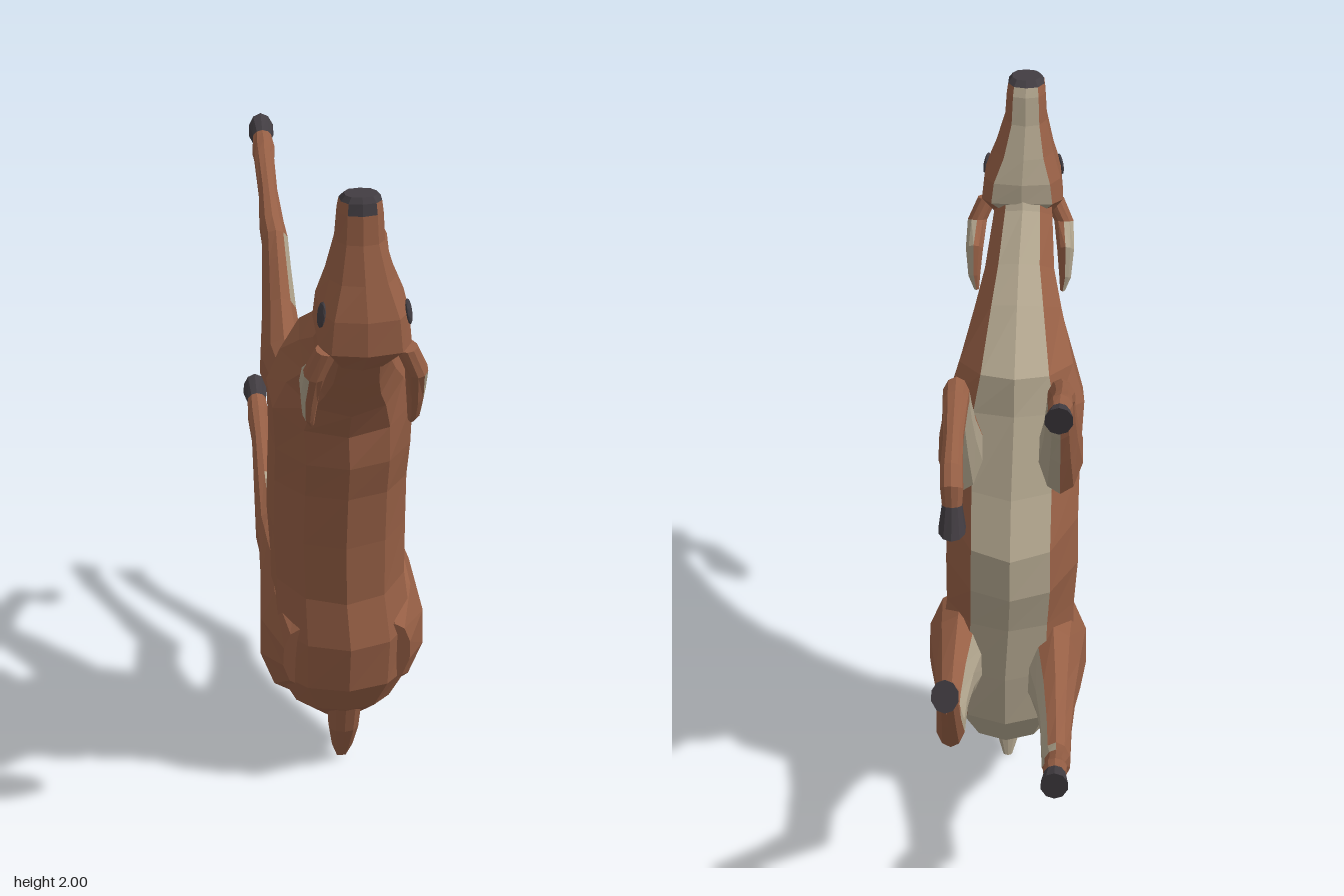
import * as THREE from 'three';

const mat = (name, color) => {
  const m = new THREE.MeshStandardMaterial({ color, flatShading: true });
  m.name = name;
  return m;
};

// Angles round a section: 0 = first edge (back), 180 = second edge (belly)
const ANGLES = [0, 35, 70, 105, 145, 180, 215, 255, 290, 325].map(a => a * Math.PI / 180);
const N = ANGLES.length;
const power = (v, p) => Math.sign(v) * Math.abs(v) ** p;

// A ring is [z1, y1, z2, y2, halfWidth, xCentre, squareness]: two opposite
// edge points in side profile; squareness below 1 makes the section boxier
function ringPoints([z1, y1, z2, y2, w, x, p = 1]) {
  return ANGLES.map(a => {
    const t = (1 - power(Math.cos(a), p)) / 2;
    return new THREE.Vector3(x + w * power(Math.sin(a), p), y1 + (y2 - y1) * t, z1 + (z2 - z1) * t);
  });
}

// Closed loft through rings; pick(band, segment) returns a material index
function loft(name, rings, materials, pick = () => 0) {
  const pts = rings.map(ringPoints);
  const buckets = materials.map(() => []);
  let volume = 0;
  const tri = (m, a, b, c) => {
    volume += a.dot(new THREE.Vector3().crossVectors(b, c));
    buckets[m].push([a, b, c]);
  };
  for (let k = 0; k < pts.length - 1; k++) {
    for (let j = 0; j < N; j++) {
      const n = (j + 1) % N, m = pick(k, j);
      tri(m, pts[k][j], pts[k][n], pts[k + 1][n]);
      tri(m, pts[k][j], pts[k + 1][n], pts[k + 1][j]);
    }
  }
  const last = pts.length - 1;
  const centre = k => pts[k][0].clone().lerp(pts[k][5], 0.5);
  for (let j = 0; j < N; j++) {
    const n = (j + 1) % N;
    tri(pick(0, j), centre(0), pts[0][n], pts[0][j]);
    tri(pick(last - 1, j), centre(last), pts[last][j], pts[last][n]);
  }
  const pos = [];
  const geo = new THREE.BufferGeometry();
  buckets.forEach((list, m) => {
    geo.addGroup(pos.length / 3, list.length * 3, m);
    for (const [a, b, c] of list) {
      for (const p of volume > 0 ? [a, b, c] : [a, c, b]) pos.push(p.x, p.y, p.z);
    }
  });
  geo.setAttribute('position', new THREE.Float32BufferAttribute(pos, 3));
  geo.computeVertexNormals();
  const mesh = new THREE.Mesh(geo, materials.length > 1 ? materials : materials[0]);
  mesh.name = name;
  return mesh;
}

export function createModel() {
  const group = new THREE.Group();
  group.name = 'deer';
  const brown = mat('brownCoat', 0x965f45);
  const cream = mat('creamCoat', 0xaea28b);
  const dark = mat('darkHorn', 0x423d42);
  const coat = [brown, cream];

  // Torso and neck, from rump to throat
  const torso = [
    [0.17, 0.15, 0.08, 0.14, 0.05, 0],
    [0.27, 0.23, -0.03, 0.19, 0.145, 0],
    [0.34, 0.33, -0.09, 0.30, 0.20, 0],
    [0.375, 0.48, -0.11, 0.48, 0.205, 0],
    [0.36, 0.62, -0.12, 0.67, 0.195, -0.01],
    [0.39, 0.81, -0.15, 0.80, 0.20, -0.015],
    [0.43, 0.98, -0.14, 0.93, 0.198, -0.015],
    [0.47, 1.09, -0.05, 1.08, 0.20, -0.015],
    [0.48, 1.19, 0.05, 1.30, 0.205, -0.02],
    [0.545, 1.28, 0.075, 1.41, 0.17, -0.02],
    [0.60, 1.34, 0.30, 1.52, 0.13, -0.02],
    [0.67, 1.41, 0.455, 1.57, 0.105, -0.02],
    [0.78, 1.53, 0.63, 1.65, 0.09, -0.025],
    [0.85, 1.62, 0.69, 1.72, 0.08, -0.025],
  ];
  group.add(loft('torsoAndNeck', torso, coat, (k, j) =>
    (k < 2 ? j >= 3 && j <= 6 : j === 4 || j === 5) ? 1 : 0));

  // Head, muzzle pointing up, with a broad flat crown
  const head = [
    [0.82, 1.53, 0.69, 1.61, 0.08, -0.025, 0.75],
    [0.905, 1.60, 0.645, 1.66, 0.122, -0.022, 0.55],
    [0.905, 1.69, 0.65, 1.72, 0.115, -0.022, 0.6],
    [0.885, 1.78, 0.675, 1.79, 0.088, -0.026, 0.75],
    [0.865, 1.88, 0.715, 1.88, 0.063, -0.03, 0.8],
    [0.86, 1.955, 0.735, 1.96, 0.058, -0.03, 0.8],
  ];
  group.add(loft('head', head, coat, (k, j) => (j === 4 || j === 5 ? 1 : 0)));

  // Nose: dark in front and on the tip, coat colours round the sides
  group.add(loft('nose', [
    [0.86, 1.955, 0.735, 1.96, 0.058, -0.03, 0.8],
    [0.855, 1.985, 0.75, 1.985, 0.054, -0.03, 0.8],
    [0.845, 2.0, 0.77, 2.0, 0.042, -0.03, 0.8],
  ], [dark, brown, cream], (k, j) =>
    k > 0 || j === 0 || j === 9 ? 0 : j === 4 || j === 5 ? 2 : 1));

  for (const s of [1, -1]) {
    const side = s > 0 ? 'left' : 'right';
    const outer = j => (s > 0 ? j : 9 - j);

    // Drooping ear with a pale hollow on its outer face
    const ear = [
      [0.85, 1.585, 0.79, 1.60, 0.03, 0.10],
      [0.84, 1.51, 0.77, 1.54, 0.03, 0.13],
      [0.79, 1.42, 0.685, 1.50, 0.026, 0.137],
      [0.75, 1.36, 0.68, 1.40, 0.018, 0.137],
      [0.725, 1.338, 0.69, 1.345, 0.008, 0.13],
    ].map(r => [...r.slice(0, 5), s * r[5] - 0.015]);
    group.add(loft(side + 'Ear', ear, coat, (k, j) =>
      (k > 0 && outer(j) >= 1 && outer(j) <= 4 ? 1 : 0)));

    // Flat eye lying on the cheek
    const eye = new THREE.Mesh(new THREE.IcosahedronGeometry(1, 1), dark);
    eye.name = side + 'Eye';
    eye.scale.set(0.008, 0.035, 0.022);
    eye.position.set(-0.022 + s * 0.11, 1.695, 0.843);
    eye.rotation.set(0, -s * 0.25, s * 0.15);
    group.add(eye);
  }

  // Tail
  group.add(loft('tail', [
    [0.26, 0.23, 0.16, 0.18, 0.05, 0],
    [0.225, 0.13, 0.155, 0.14, 0.045, 0],
    [0.175, 0.05, 0.14, 0.06, 0.032, 0],
    [0.145, 0.005, 0.13, 0.0, 0.014, 0],
  ], coat, (k, j) => (j >= 3 && j <= 6 ? 1 : 0)));

  // Leg: the last two rings form the hoof. isPale(band, i) marks the inner side,
  // where i runs 0..4 from the upper to the lower edge
  function leg(name, s, rings, isPale) {
    const r = rings.map(q => [...q.slice(0, 5), s * q[5]]);
    const limb = new THREE.Group();
    limb.name = name;
    limb.add(loft(name + 'Limb', r.slice(0, -1), coat, (k, j) => {
      const i = s > 0 ? 9 - j : j;
      return i <= 4 && isPale(k, i) ? 1 : 0;
    }));
    limb.add(loft(name + 'Hoof', r.slice(-2), [dark]));
    // Dewclaw on the lower edge of the fetlock
    const f = r[r.length - 3];
    const claw = new THREE.Mesh(new THREE.ConeGeometry(0.016, 0.045, 5), brown);
    claw.name = name + 'Dewclaw';
    claw.position.set(f[5], f[3], f[2]);
    claw.rotation.x = -2.2;
    limb.add(claw);
    group.add(limb);
  }

  const hindPale = (k, i) => (k < 5 ? i >= 1 : k === 5 && i <= 2);
  const forePale = (k, i) => k < 4 && i >= (k < 2 ? 2 : 1);

  // Haunch, then thigh, hock, cannon and fetlock
  leg('leftHindLeg', 1, [
    [0.30, 0.52, 0.25, 0.31, 0.05, 0.135],
    [0.17, 0.61, 0.13, 0.23, 0.105, 0.137],
    [-0.04, 0.665, -0.02, 0.34, 0.085, 0.14],
    [-0.20, 0.625, -0.15, 0.435, 0.06, 0.145],
    [-0.34, 0.62, -0.29, 0.495, 0.047, 0.145],
    [-0.42, 0.63, -0.44, 0.495, 0.042, 0.143],
    [-0.52, 0.735, -0.555, 0.655, 0.034, 0.14],
    [-0.63, 0.87, -0.67, 0.82, 0.028, 0.137],
    [-0.70, 0.94, -0.725, 0.87, 0.034, 0.135],
    [-0.735, 0.955, -0.76, 0.895, 0.03, 0.135],
    [-0.775, 1.0, -0.80, 0.905, 0.038, 0.135],
  ], hindPale);

  leg('rightHindLeg', -1, [
    [0.30, 0.52, 0.25, 0.31, 0.05, 0.135],
    [0.17, 0.61, 0.13, 0.22, 0.105, 0.137],
    [-0.04, 0.63, -0.04, 0.27, 0.085, 0.14],
    [-0.20, 0.57, -0.18, 0.38, 0.06, 0.15],
    [-0.34, 0.54, -0.31, 0.42, 0.047, 0.155],
    [-0.45, 0.53, -0.46, 0.39, 0.042, 0.158],
    [-0.58, 0.61, -0.58, 0.515, 0.034, 0.16],
    [-0.70, 0.69, -0.715, 0.63, 0.028, 0.16],
    [-0.78, 0.745, -0.785, 0.67, 0.034, 0.16],
    [-0.835, 0.765, -0.845, 0.71, 0.03, 0.16],
    [-0.91, 0.80, -0.895, 0.70, 0.038, 0.16],
  ], hindPale);

  // Both forelegs share the shoulder and upper arm
  const upperArm = x => [
    [0.20, 1.23, 0.13, 1.04, 0.04, x - 0.02],
    [0.07, 1.32, -0.05, 1.11, 0.065, x],
    [-0.02, 1.405, -0.13, 1.265, 0.05, x],
    [-0.10, 1.50, -0.185, 1.38, 0.042, x],
    [-0.155, 1.56, -0.215, 1.47, 0.038, x],
  ];

  leg('leftForeleg', 1, [
    ...upperArm(0.13),
    [-0.22, 1.555, -0.235, 1.48, 0.036, 0.13],
    [-0.35, 1.51, -0.34, 1.45, 0.028, 0.13],
    [-0.45, 1.475, -0.43, 1.41, 0.032, 0.13],
    [-0.505, 1.435, -0.455, 1.39, 0.032, 0.128],
    [-0.51, 1.37, -0.46, 1.36, 0.028, 0.127],
    [-0.545, 1.285, -0.45, 1.30, 0.038, 0.127],
  ], forePale);

  leg('rightForeleg', -1, [
    ...upperArm(0.155),
    [-0.21, 1.585, -0.25, 1.51, 0.036, 0.16],
    [-0.33, 1.64, -0.345, 1.575, 0.028, 0.16],
    [-0.45, 1.70, -0.465, 1.645, 0.03, 0.16],
    [-0.49, 1.72, -0.515, 1.645, 0.034, 0.158],
    [-0.55, 1.73, -0.565, 1.68, 0.028, 0.157],
    [-0.62, 1.76, -0.59, 1.66, 0.038, 0.156],
  ], forePale);

  return group;
}
